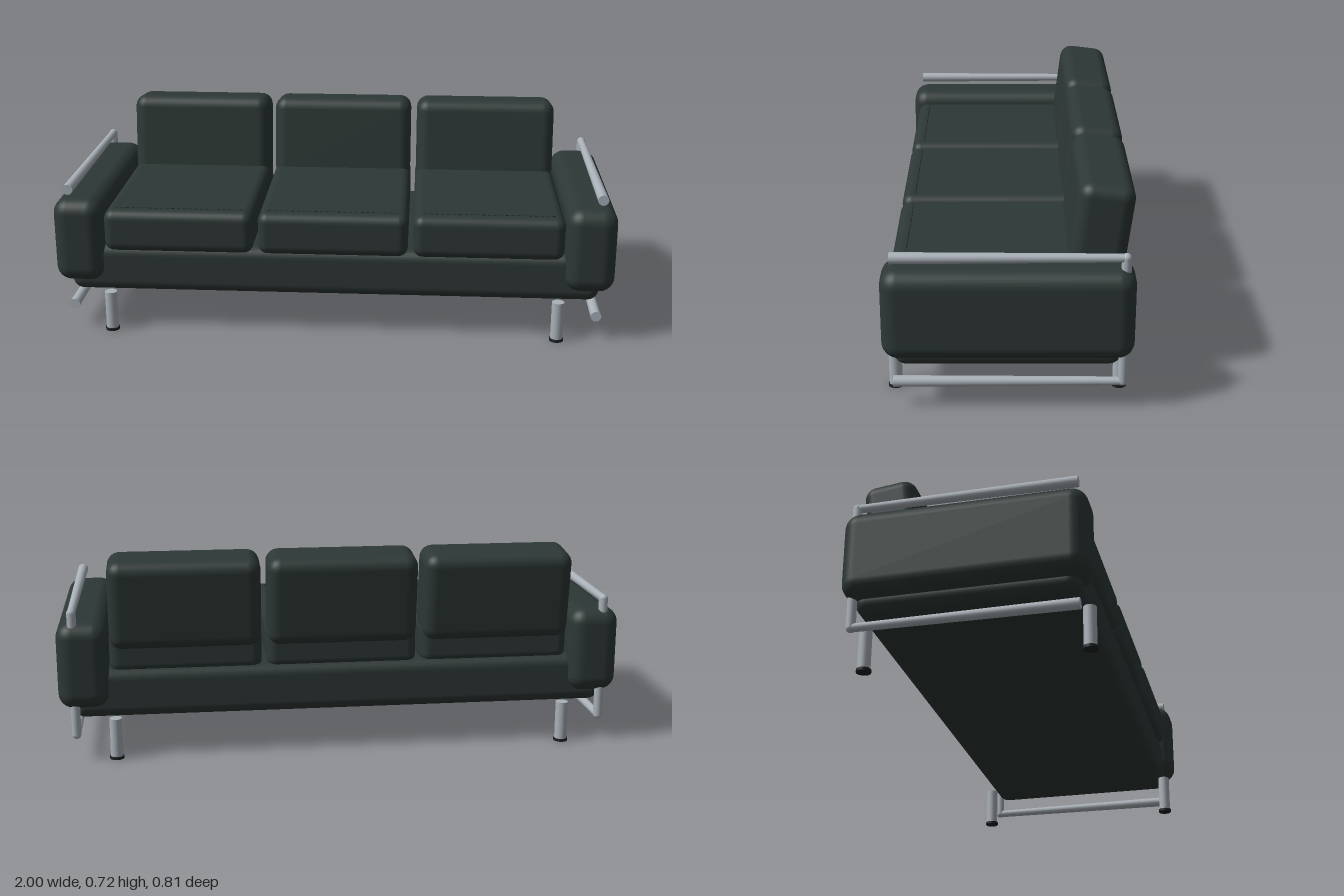
import * as THREE from 'three';
import { RoundedBoxGeometry } from 'three/addons/geometries/RoundedBoxGeometry.js';

const material = (name, color) => {
  const m = new THREE.MeshStandardMaterial({ color });
  m.name = name;
  return m;
};

export function createModel() {
  const leather = material('dark green leather', 0x2d3836);
  const steel = material('brushed steel', 0xa9b1b8);
  const rubber = material('black rubber', 0x1c2123);
  const model = new THREE.Group();
  model.name = 'sofa';

  const add = (parent, name, geometry, mat, x, y, z) => {
    const mesh = new THREE.Mesh(geometry, mat);
    mesh.name = name;
    mesh.position.set(x, y, z);
    parent.add(mesh);
    return mesh;
  };
  const pad = (w, h, d, r) => new RoundedBoxGeometry(w, h, d, 4, r);

  // Long upholstered base
  add(model, 'base', pad(1.9, 0.175, 0.735, 0.04), leather, 0, 0.2325, 0.005);

  // Three seat cushions with a dashed seam, and three reclined back cushions
  const stitch = new THREE.BoxGeometry(0.012, 0.002, 0.003);
  for (const x of [-0.553, 0, 0.553]) {
    add(model, 'seatCushion', pad(0.535, 0.155, 0.73, 0.035), leather, x, 0.3775, 0.02);
    const seam = new THREE.Group();
    seam.name = 'seatSeam';
    for (let i = -11; i <= 11; i++) add(seam, 'stitch', stitch, rubber, x + i * 0.0205, 0.4552, 0.338);
    model.add(seam);
    const back = add(model, 'backCushion', pad(0.53, 0.32, 0.185, 0.045), leather, x, 0.555, -0.298);
    back.rotation.x = THREE.MathUtils.degToRad(-7);
  }

  // Arms, with a steel rail frame running through each
  const arm = pad(0.178, 0.308, 0.808, 0.055);
  const rail = new THREE.CylinderGeometry(0.019, 0.014, 0.742, 16).rotateX(Math.PI / 2);
  const post = new THREE.CylinderGeometry(0.016, 0.016, 0.437, 16);
  const corner = new THREE.SphereGeometry(0.016, 16, 10);
  for (const side of [-1, 1]) {
    add(model, side > 0 ? 'leftArm' : 'rightArm', arm, leather, side * 0.911, 0.341, 0.004);
    const frame = new THREE.Group();
    frame.name = side > 0 ? 'leftRailFrame' : 'rightRailFrame';
    for (const y of [0.093, 0.53]) {
      add(frame, y > 0.3 ? 'topRail' : 'bottomRail', rail, steel, side * 0.942, y, 0.004);
      add(frame, 'railCorner', corner, steel, side * 0.942, y, -0.366);
    }
    add(frame, 'railPost', post, steel, side * 0.942, 0.3115, -0.366);
    model.add(frame);
  }

  // Four round legs on rubber feet
  const leg = new THREE.CylinderGeometry(0.022, 0.022, 0.14, 20);
  const foot = new THREE.CylinderGeometry(0.025, 0.025, 0.01, 20);
  for (const x of [-0.805, 0.805]) {
    for (const z of [0.378, -0.367]) {
      add(model, 'leg', leg, steel, x, 0.078, z);
      add(model, 'foot', foot, rubber, x, 0.005, z);
    }
  }
  return model;
}
